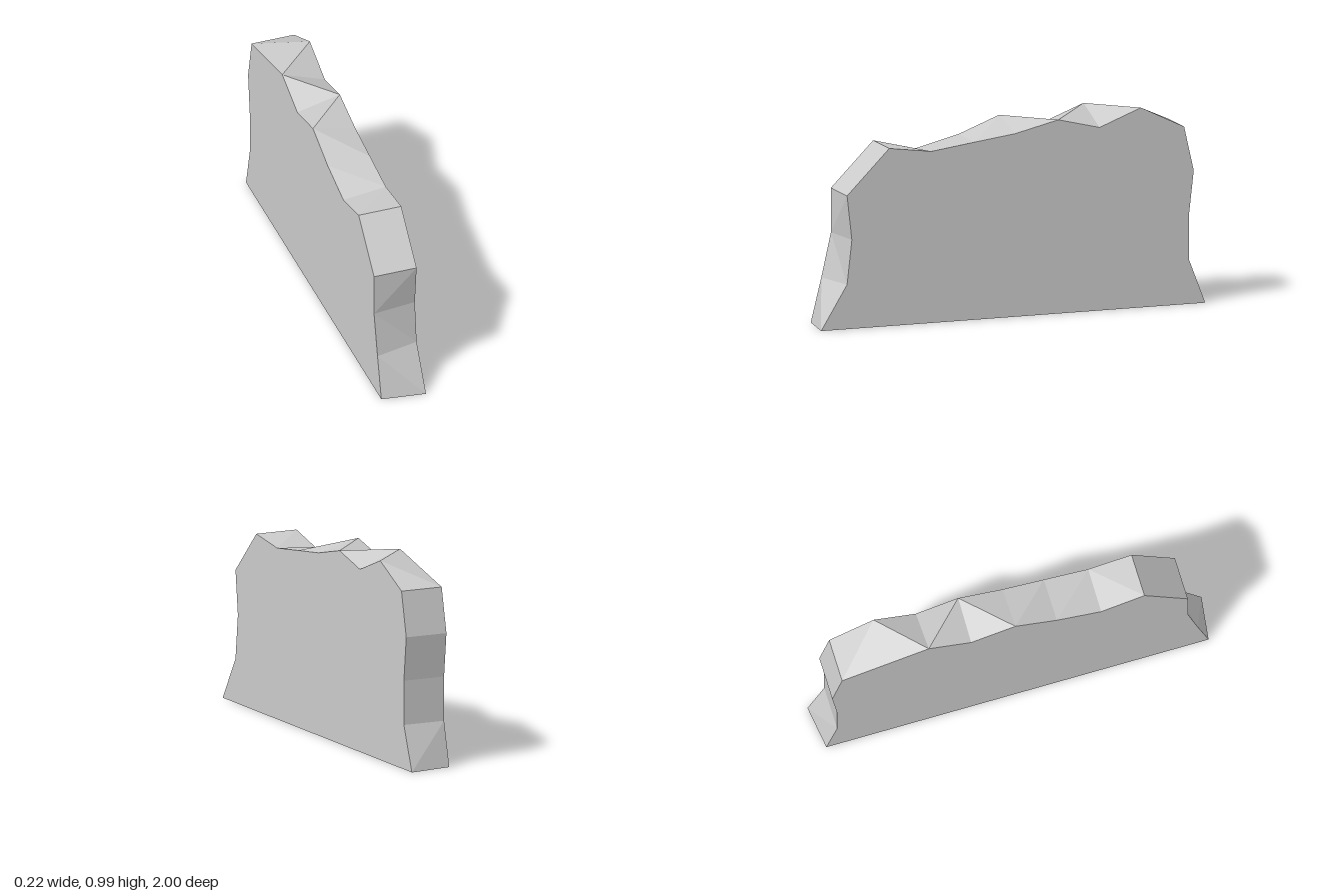
import * as THREE from 'three';

const HALF = 0.11; // half thickness of the slab

// Edge outlines as [z, y], from the front foot over the top to the back foot
const leftEdge = [
  [1, 0], [0.865, 0.22], [0.84, 0.44], [0.865, 0.66],
  [0.645, 0.88], [0.425, 0.85], [0.2, 0.88], [-0.01, 0.907],
  [-0.235, 0.96], [-0.45, 0.907], [-0.665, 0.99], [-0.89, 0.88],
  [-0.94, 0.66], [-0.915, 0.44], [-0.915, 0.22], [-1, 0],
];
const rightEdge = [
  [0.97, 0], [0.915, 0.22], [0.865, 0.44], [0.865, 0.66],
  [0.645, 0.88], [0.425, 0.825], [0.2, 0.88], [-0.01, 0.96],
  [-0.235, 0.907], [-0.45, 0.988], [-0.665, 0.935], [-0.89, 0.88],
  [-0.94, 0.66], [-0.915, 0.44], [-0.915, 0.22], [-0.97, 0],
];
// Which way each rim quad is split: N = left i to right i+1, F = right i to left i+1
const splits = 'NNFFFNNFNFNFFFFF';

function makeMesh(name, triangles) {
  const geometry = new THREE.BufferGeometry().setFromPoints(triangles);
  geometry.computeVertexNormals();
  const material = new THREE.MeshStandardMaterial({ color: 0xcccccc, flatShading: true });
  const mesh = new THREE.Mesh(geometry, material);
  mesh.name = name;
  return mesh;
}

// Flat broad face at the given x, wound to face outward
function makeFace(name, edge, x) {
  const contour = edge.map(([z, y]) => new THREE.Vector2(-z, y));
  const points = edge.map(([z, y]) => new THREE.Vector3(x, y, z));
  const triangles = [];
  for (const [i, j, k] of THREE.ShapeUtils.triangulateShape(contour, [])) {
    const ccw = THREE.ShapeUtils.area([contour[i], contour[j], contour[k]]) > 0;
    const order = ccw === x > 0 ? [i, j, k] : [i, k, j];
    triangles.push(...order.map((n) => points[n]));
  }
  return makeMesh(name, triangles);
}

// Faceted rim joining the two outlines, including the flat base
function makeRim() {
  const left = leftEdge.map(([z, y]) => new THREE.Vector3(HALF, y, z));
  const right = rightEdge.map(([z, y]) => new THREE.Vector3(-HALF, y, z));
  const triangles = [];
  for (let i = 0; i < left.length; i++) {
    const j = (i + 1) % left.length;
    const a = left[i], b = left[j], c = right[i], d = right[j];
    if (splits[i] === 'N') triangles.push(c, a, d, a, b, d);
    else triangles.push(c, a, b, c, b, d);
  }
  return makeMesh('brokenRim', triangles);
}

export function createModel() {
  const wall = new THREE.Group();
  wall.name = 'brokenWall';
  wall.add(
    makeFace('leftFace', leftEdge, HALF),
    makeFace('rightFace', rightEdge, -HALF),
    makeRim(),
  );
  return wall;
}
